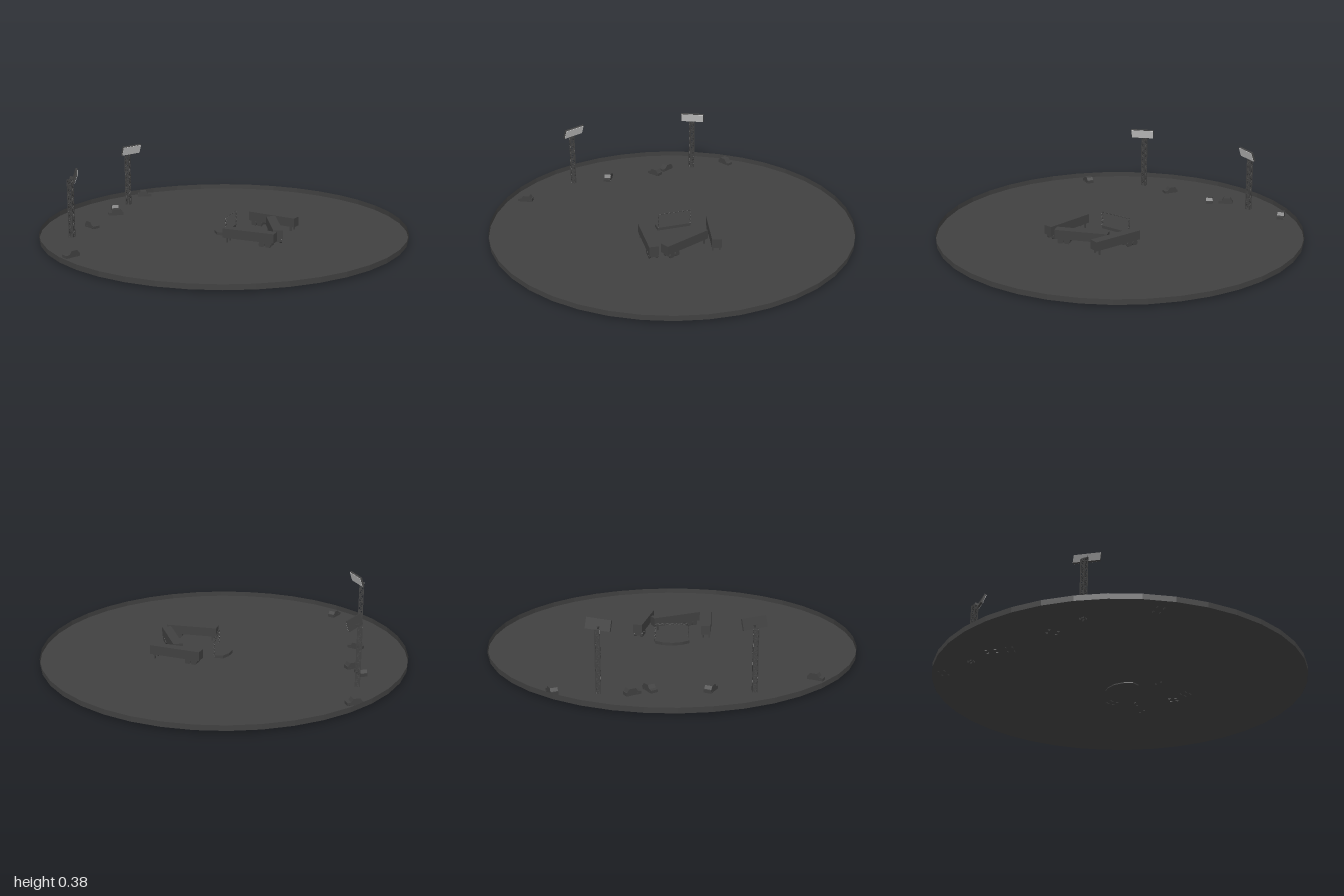
import * as THREE from 'three';
import { mergeGeometries } from 'three/addons/utils/BufferGeometryUtils.js';

const mat = (name, color, extra = {}) =>
  Object.assign(new THREE.MeshStandardMaterial({ color, flatShading: true, ...extra }), { name });

// Square bar between two points
function bar(a, b, t) {
  const va = new THREE.Vector3(...a), d = new THREE.Vector3(...b).sub(va);
  const g = new THREE.BoxGeometry(t, d.length(), t);
  const q = new THREE.Quaternion().setFromUnitVectors(new THREE.Vector3(0, 1, 0), d.clone().normalize());
  return g.applyQuaternion(q).translate(...va.addScaledVector(d, 0.5).toArray());
}

// Upright square lattice of the given width, height and number of bays
function lattice(w, h, bays, t) {
  const bars = [], r = w / 2 - t / 2;
  const corners = [[-r, -r], [r, -r], [r, r], [-r, r]];
  corners.forEach(([x, z], i) => {
    const [nx, nz] = corners[(i + 1) % 4];
    bars.push(bar([x, 0, z], [x, h, z], t));
    for (let k = 0; k < bays; k++) {
      const y0 = (h * k) / bays, y1 = (h * (k + 1)) / bays;
      bars.push(k % 2 ? bar([nx, y0, nz], [x, y1, z], t) : bar([x, y0, z], [nx, y1, nz], t));
      bars.push(bar([x, y1, z], [nx, y1, nz], t * 0.8));
    }
  });
  return mergeGeometries(bars);
}

export function createModel() {
  const model = new THREE.Group();
  const dark = mat('dark grey', 0x404040);
  const sheet = mat('dark grey', 0x404040, { side: THREE.DoubleSide });
  dark.side = THREE.DoubleSide;
  const lamp = mat('lamp grey', 0xcccccc);

  const add = (parent, name, geo, material, x = 0, y = 0, z = 0) => {
    const m = new THREE.Mesh(geo, material);
    m.name = name;
    m.position.set(x, y, z);
    parent.add(m);
    return m;
  };
  const group = (name, x, z, dx = 1, dz = 0) => {
    const g = new THREE.Group();
    g.name = name;
    g.position.set(x, 0, z);
    g.rotation.y = Math.atan2(-dz, dx);
    model.add(g);
    return g;
  };

  // Round ground with a low thin wall
  const profile = [[0, 0.01], [1, 0.01], [1, 0.038]].map((p) => new THREE.Vector2(...p));
  add(model, 'ground', new THREE.LatheGeometry(profile, 40), sheet);

  // Rounded stage, flat at the back
  const stage = group('stage', 0.04, 0);
  const outline = new THREE.Shape([[0, -0.095], [-0.048, -0.095], [-0.075, -0.055], [-0.088, 0],
    [-0.075, 0.055], [-0.048, 0.095], [0, 0.095]].map((p) => new THREE.Vector2(...p)));
  const deck = new THREE.ExtrudeGeometry(outline, { depth: 0.022, bevelEnabled: false }).rotateX(-Math.PI / 2);
  add(stage, 'stageDeck', deck, dark, 0, 0.004);

  // Zigzag truss gate over the stage back
  const gate = [], corners = [[0, 0.02, -0.092], [0, 0.106, -0.092], [0, 0.106, 0.092], [0, 0.02, 0.092]];
  for (let s = 0; s < 3; s++) {
    const a = corners[s], b = corners[s + 1], n = s === 1 ? 14 : 8;
    const at = (k) => {
      const o = (k % 2 ? 1 : -1) * 0.004;
      const p = a.map((v, i) => v + ((b[i] - v) * k) / n);
      return [p[0] + o, p[1] + (s === 1 ? o * 0.6 : 0), p[2] + (s === 1 ? 0 : o * 0.6)];
    };
    gate.push(bar(a, b, 0.003));
    for (let k = 0; k < n; k++) gate.push(bar(at(k), at(k + 1), 0.003));
  }
  add(stage, 'stageTruss', mergeGeometries(gate), dark);

  // Three trailers; local +x is the wheeled end
  const trailers = [[0.238, -0.155, -52, -13], [0.294, 0.028, 21.5, 49.5], [0.209, 0.203, 55, 5]];
  for (const t of trailers) {
    const g = group('trailer', ...t);
    add(g, 'trailerBody', new THREE.BoxGeometry(0.288, 0.05, 0.052), dark, 0, 0.06);
    add(g, 'axleBox', new THREE.BoxGeometry(0.07, 0.02, 0.036), dark, 0.095, 0.028);
    for (const side of [-1, 1]) {
      for (const x of [0.076, 0.112]) {
        const wheel = new THREE.CylinderGeometry(0.016, 0.016, 0.012, 10).rotateX(Math.PI / 2);
        add(g, 'trailerWheel', wheel, dark, x, 0.021, side * 0.019);
      }
      add(g, 'landingLeg', new THREE.BoxGeometry(0.008, 0.032, 0.008), dark, -0.12, 0.021, side * 0.019);
    }
  }

  // Parked cars; local +x is the nose
  const side = new THREE.Shape([[-0.041, 0.01], [0.041, 0.01], [0.041, 0.024], [0.022, 0.027],
    [0.01, 0.044], [-0.026, 0.044], [-0.036, 0.028], [-0.041, 0.027]].map((p) => new THREE.Vector2(...p)));
  const carGeo = new THREE.ExtrudeGeometry(side, { depth: 0.038, bevelEnabled: false }).translate(0, 0, -0.019);
  const cars = [[-0.722, -0.6, 14, -6], [-0.75, -0.214, 7, 13], [-0.706, -0.128, -13, 8],
    [-0.717, 0.166, 13, 7], [-0.578, 0.7, -7, 13]];
  for (const c of cars) {
    const g = group('car', ...c);
    add(g, 'carBody', carGeo, dark);
    for (const x of [-0.024, 0.024]) {
      for (const z of [-0.017, 0.017]) {
        const wheel = new THREE.CylinderGeometry(0.008, 0.008, 0.006, 8).rotateX(Math.PI / 2);
        add(g, 'carWheel', wheel, dark, x, 0.012, z);
      }
    }
  }

  // Pair of lattice floodlight masts, lamps turned to the middle and tilted down
  for (const s of [-1, 1]) {
    const mast = group('floodlightMast', -0.735, s * 0.377);
    add(mast, 'mast', lattice(0.027, 0.325, 14, 0.004), dark);
    const head = new THREE.Group();
    head.name = 'floodlightHead';
    head.position.set(0.028, 0.3475, -s * 0.006);
    head.rotation.set(0, Math.atan2(s * 0.45, 0.89), -0.33);
    mast.add(head);
    add(head, 'lampHousing', new THREE.BoxGeometry(0.01, 0.056, 0.136), dark);
    add(head, 'lampFace', new THREE.BoxGeometry(0.002, 0.052, 0.132), lamp, 0.006);
    add(head, 'lampBracket', new THREE.BoxGeometry(0.022, 0.012, 0.02), dark, -0.014, -0.016);
  }
  return model;
}
